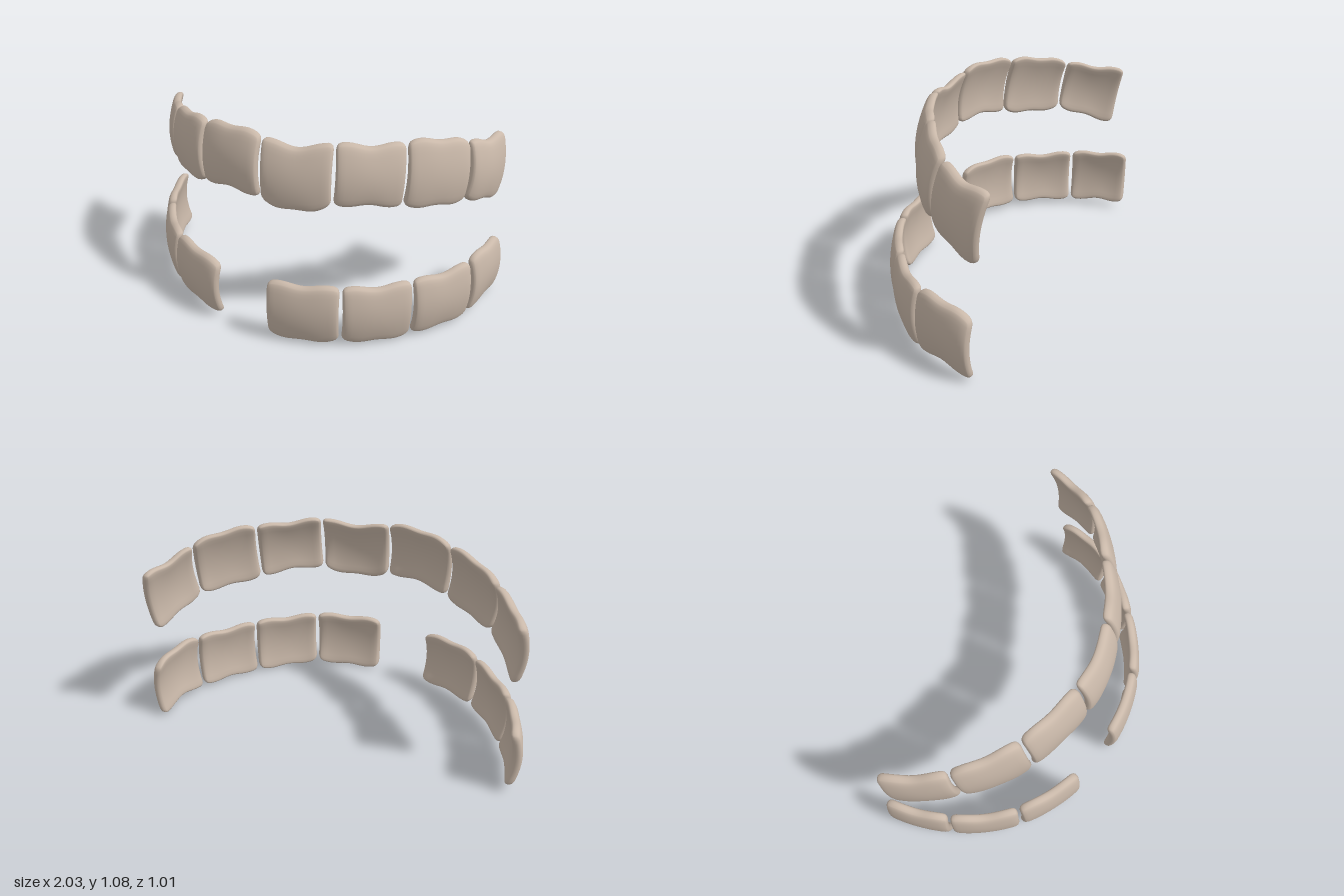
import * as THREE from 'three';
import { mergeVertices } from 'three/addons/utils/BufferGeometryUtils.js';

const THICK = 0.05, HEIGHT = 0.34, ROUND = 0.03, EDGE = 0.022, GAP = 0.012, RIPPLE = 0.008;

// Moves evenly spaced grid lines so several fall inside the rounded rim
function crowd(p, half, n) {
  const i = Math.round((p / (2 * half) + 0.5) * n);
  const inner = half - ROUND;
  if (i < 4) return -half + ROUND * (i / 3) ** 2;
  if (i > n - 4) return half - ROUND * ((n - i) / 3) ** 2;
  return THREE.MathUtils.lerp(-inner, inner, (i - 3) / (n - 6));
}

// Height along an edge: a parabola through start, middle and end, plus a scallop
function edgeHeight(start, mid, end, u, ripple) {
  const bow = mid - (start + end) / 2;
  return THREE.MathUtils.lerp(start, end, u) + bow * 4 * u * (1 - u) + ripple * Math.sin(3 * Math.PI * u);
}

// One curved plate between two joints [x, z, top, bottom]; mid is [top, bottom]
function plateGeometry(a, b, mid, { bulge, inset, lean, midY }) {
  const start = new THREE.Vector2(a[0], a[1]);
  const along = new THREE.Vector2(b[0], b[1]).sub(start);
  const width = along.length() - GAP;
  along.normalize();
  start.addScaledVector(along, GAP / 2);
  const out = new THREE.Vector2(-along.y, along.x);
  const sag = width * width / 7.2;
  const nx = 22, ny = 18, nz = 6;
  let geo = new THREE.BoxGeometry(width, HEIGHT, THICK, nx, ny, nz);
  geo.deleteAttribute('uv');
  geo.deleteAttribute('normal');
  geo = mergeVertices(geo, 1e-5);
  const pos = geo.attributes.position;
  const radius = new THREE.Vector3(ROUND, ROUND, EDGE);
  const limit = new THREE.Vector3(width, HEIGHT, THICK).multiplyScalar(0.5).sub(radius);
  const lower = limit.clone().negate();
  const p = new THREE.Vector3(), q = new THREE.Vector3(), d = new THREE.Vector3();
  for (let i = 0; i < pos.count; i++) {
    p.fromBufferAttribute(pos, i);
    p.set(crowd(p.x, width / 2, nx), crowd(p.y, HEIGHT / 2, ny), p.z);
    // round the rim
    q.copy(p).clamp(lower, limit);
    d.copy(p).sub(q).divide(radius);
    if (d.lengthSq() > 0) p.copy(q).add(d.normalize().multiply(radius));
    // wavy top and bottom, bowed plan, bulging height
    const u = THREE.MathUtils.clamp(p.x / width + 0.5, 0, 1), v = p.y / HEIGHT + 0.5;
    const y = THREE.MathUtils.lerp(
      edgeHeight(a[3], mid[1], b[3], u, -RIPPLE),
      edgeHeight(a[2], mid[0], b[2], u, RIPPLE), v);
    const slope = sag * 4 * (1 - 2 * u) / width;
    const k = 1 / Math.hypot(1, slope);
    const s = p.x + width / 2 - p.z * slope * k;
    const o = sag * 4 * u * (1 - u) + bulge * 4 * v * (1 - v) - inset + p.z * k;
    pos.setXYZ(i,
      start.x + along.x * s + out.x * o,
      y,
      start.y + along.y * s + out.y * o - lean * (y - midY));
  }
  geo.computeVertexNormals();
  return geo;
}

// The upper row leans back, the lower row stands upright with a barrel curve
const leaning = { bulge: 0.03, inset: 0.012, lean: 0.17, midY: 0.88 };
const upright = { bulge: 0.03, inset: 0.006, lean: 0, midY: 0.2 };

const upperArc = {
  name: 'upperPlate', form: leaning,
  joints: [
    [-0.947, -0.435, 0.94, 0.61], [-0.808, -0.105, 0.99, 0.715], [-0.55, 0.16, 1.045, 0.74],
    [-0.207, 0.305, 1.065, 0.76], [0.163, 0.305, 1.07, 0.765], [0.491, 0.165, 1.05, 0.735],
    [0.78, -0.043, 1.0, 0.705], [0.932, -0.34, 0.95, 0.61],
  ],
  mids: [[0.965, 0.645], [1.04, 0.695], [1.085, 0.757], [1.045, 0.715], [1.057, 0.75], [1.05, 0.7], [0.965, 0.635]],
};
const lowerRightArc = {
  name: 'lowerRightPlate', form: upright,
  joints: [
    [-0.97, -0.493, 0.375, 0.06], [-0.918, -0.147, 0.365, 0.05],
    [-0.733, 0.175, 0.36, 0.055], [-0.42, 0.388, 0.34, 0.04],
  ],
  mids: [[0.38, 0.05], [0.36, 0.04], [0.375, 0.035]],
};
const lowerLeftArc = {
  name: 'lowerLeftPlate', form: upright,
  joints: [
    [-0.145, 0.46, 0.35, 0.035], [0.243, 0.447, 0.357, 0.04], [0.579, 0.283, 0.352, 0.03],
    [0.847, 0.04, 0.357, 0.035], [0.968, -0.285, 0.335, 0.025],
  ],
  mids: [[0.36, 0.01], [0.355, 0.012], [0.355, 0.018], [0.38, 0.047]],
};

export function createModel() {
  const model = new THREE.Group();
  model.name = 'curvedPlates';
  const clay = new THREE.MeshStandardMaterial({ color: 0xc9b8a9 });
  clay.name = 'warm beige';
  for (const { name, form, joints, mids } of [upperArc, lowerRightArc, lowerLeftArc]) {
    const arc = new THREE.Group();
    arc.name = name + 's';
    mids.forEach((mid, i) => {
      const plate = new THREE.Mesh(plateGeometry(joints[i], joints[i + 1], mid, form), clay);
      plate.name = name + (i + 1);
      arc.add(plate);
    });
    model.add(arc);
  }
  return model;
}
